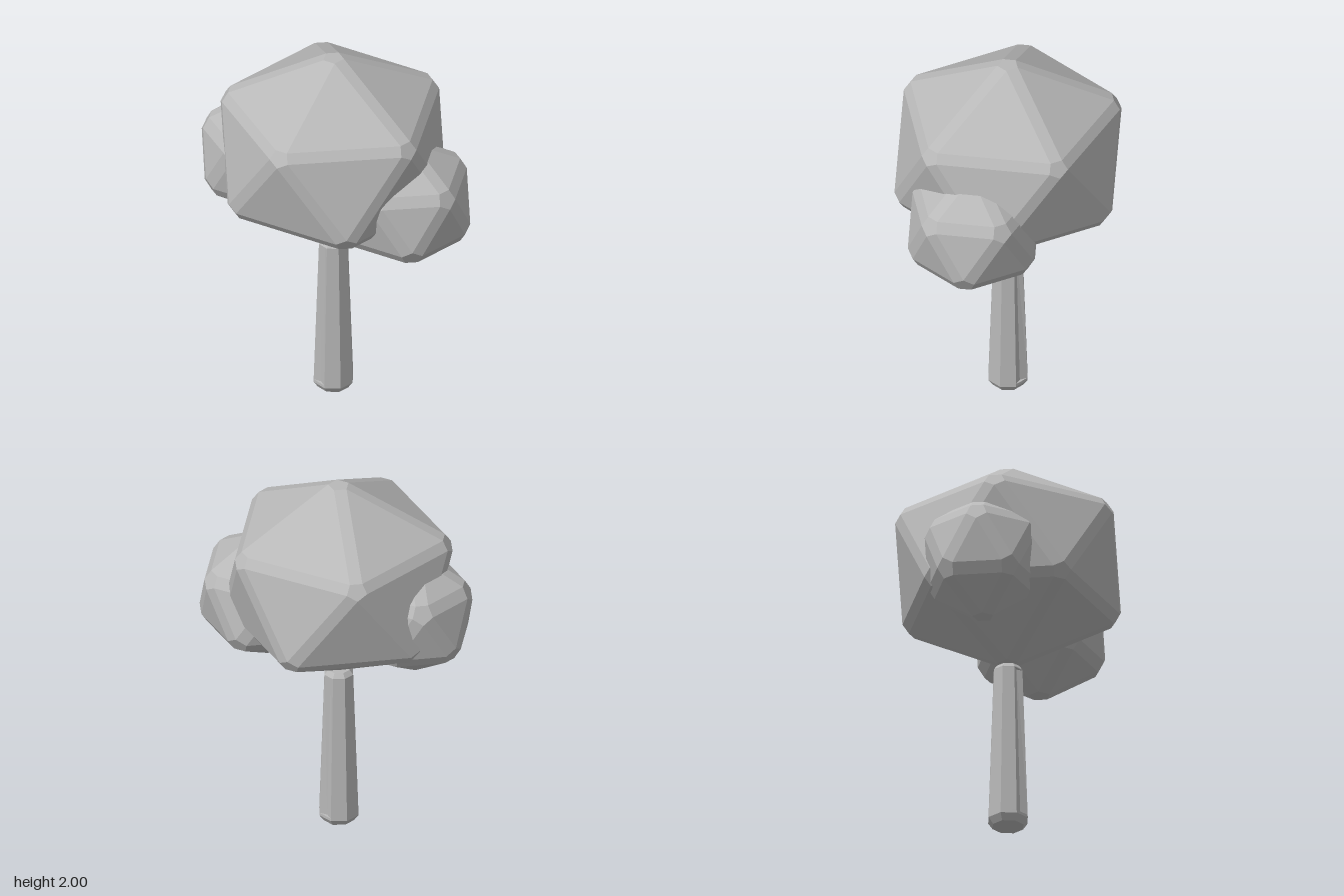
import * as THREE from 'three';
import { ConvexGeometry } from 'three/addons/geometries/ConvexGeometry.js';

// Icosahedron with bevelled edges: every face is shrunk in its own plane, then hulled
function bevelledIcosahedron(radius, bevel, squash) {
  const ring = (y, turn) => Array.from({ length: 5 }, (_, i) => {
    const a = (i * 72 + turn) * Math.PI / 180;
    return new THREE.Vector3(Math.cos(a) * 0.8944, y, Math.sin(a) * 0.8944).multiplyScalar(radius);
  });
  const top = new THREE.Vector3(0, radius, 0), bottom = new THREE.Vector3(0, -radius, 0);
  const upper = ring(0.4472, 0), lower = ring(-0.4472, 36);
  const points = [];
  for (let i = 0; i < 5; i++) {
    const j = (i + 1) % 5;
    const faces = [
      [top, upper[i], upper[j]], [upper[i], lower[i], upper[j]],
      [lower[i], upper[j], lower[j]], [bottom, lower[i], lower[j]],
    ];
    for (const face of faces) {
      const centre = new THREE.Vector3();
      face.forEach(v => centre.addScaledVector(v, 1 / 3));
      face.forEach(v => {
        const p = v.clone().lerp(centre, bevel / radius);
        p.y *= squash;
        points.push(p);
      });
    }
  }
  return new ConvexGeometry(points);
}

// Tapered octagonal trunk with a shallow V groove down the front and back
function trunkGeometry() {
  // height, apothem, groove depth
  const rings = [
    [0, 0.078, 0], [0.035, 0.1, 0], [0.05, 0.0995, 0], [0.051, 0.0995, 0.014],
    [0.869, 0.073, 0.014], [0.87, 0.073, 0], [0.875, 0.073, 0], [0.9, 0.055, 0],
  ];
  const sections = rings.map(([y, r, groove]) => {
    const section = [];
    for (let i = 0; i < 8; i++) {
      const a = (i + 0.5) * Math.PI / 4, R = r / Math.cos(Math.PI / 8);
      section.push([Math.cos(a) * R, y, Math.sin(a) * R]);
      if (i === 1) section.push([0, y, r - groove]);
      if (i === 5) section.push([0, y, groove - r]);
    }
    // keep the groove point between the two corners of its flat side
    return [...section.slice(0, 1), section[2], section[1], ...section.slice(3, 5),
      section[5], section[7], section[6], ...section.slice(8)]
      .sort((p, q) => Math.atan2(p[2], p[0]) - Math.atan2(q[2], q[0]));
  });
  const pos = [], n = 10;
  for (let k = 0; k < sections.length - 1; k++) {
    for (let i = 0; i < n; i++) {
      const j = (i + 1) % n, a = sections[k], b = sections[k + 1];
      pos.push(...a[i], ...b[i], ...b[j], ...a[i], ...b[j], ...a[j]);
    }
  }
  // end caps
  const first = sections[0], last = sections[sections.length - 1];
  for (let i = 0; i < n; i++) {
    const j = (i + 1) % n;
    pos.push(0, 0, 0, ...first[i], ...first[j], 0, 0.9, 0, ...last[j], ...last[i]);
  }
  const g = new THREE.BufferGeometry();
  g.setAttribute('position', new THREE.Float32BufferAttribute(pos, 3));
  g.computeVertexNormals();
  return g;
}

export function createModel() {
  const group = new THREE.Group();
  group.name = 'tree';
  const grey = new THREE.MeshStandardMaterial({ color: 0xb8b8b8 });
  grey.name = 'plain grey';

  const add = (name, geometry, x, y, z) => {
    const mesh = new THREE.Mesh(geometry, grey);
    mesh.name = name;
    mesh.position.set(x, y, z);
    group.add(mesh);
  };

  // Foliage clumps
  add('mainFoliage', bevelledIcosahedron(0.673, 0.115, 0.856), -0.03, 1.46, 0);
  add('rightFoliage', bevelledIcosahedron(0.355, 0.115, 1.04), -0.4, 1.33, 0.17);
  add('leftFoliage', bevelledIcosahedron(0.397, 0.115, 0.96), 0.358, 1.255, -0.14);

  // Trunk
  add('trunk', trunkGeometry(), -0.03, 0, 0);
  return group;
}
